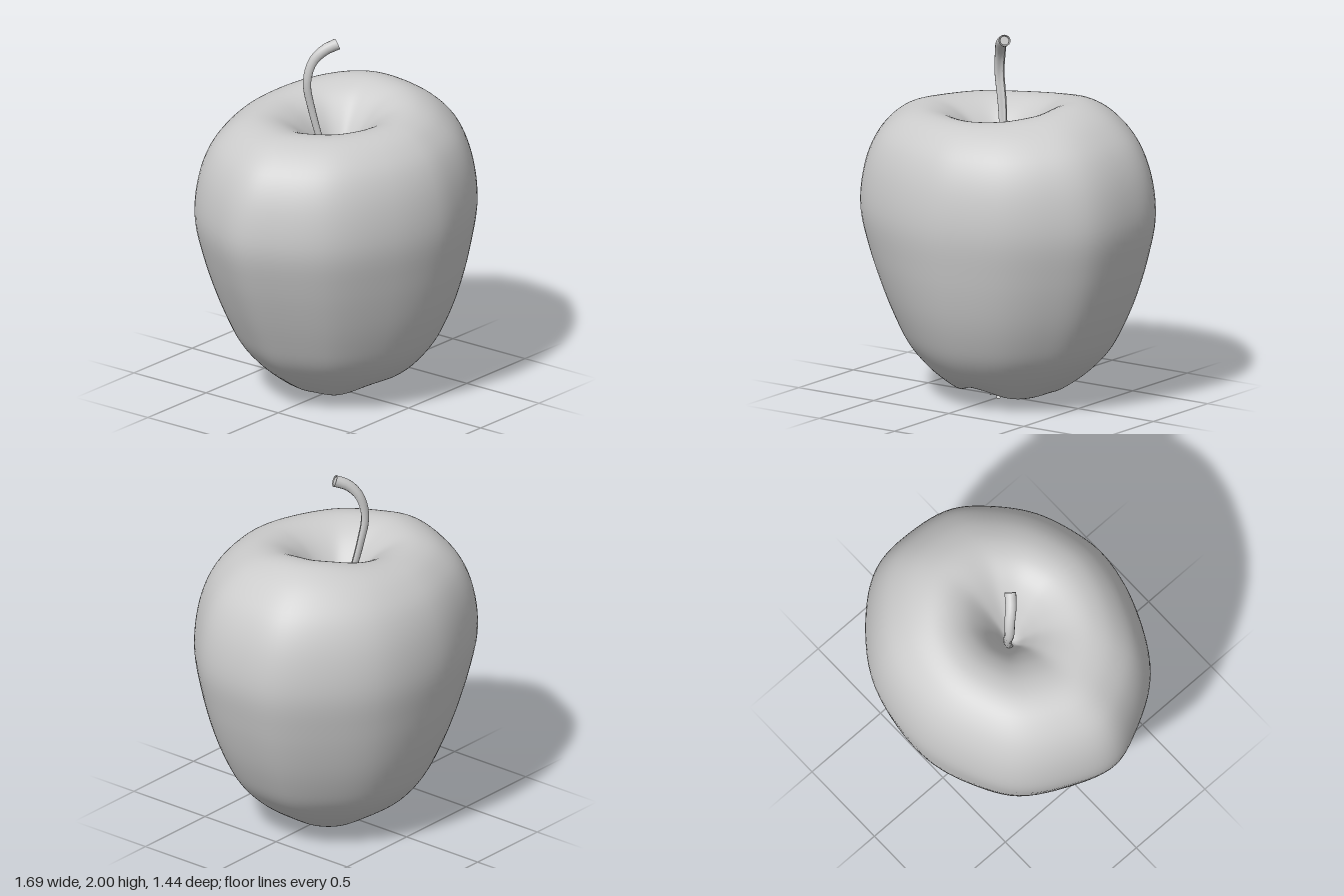
import * as THREE from 'three';
import { mergeVertices } from 'three/addons/utils/BufferGeometryUtils.js';

const material = new THREE.MeshStandardMaterial({ color: 0xcccccc });
const thinMaterial = new THREE.MeshStandardMaterial({ color: 0xcccccc, side: THREE.DoubleSide });
const vec2 = ([x, y]) => new THREE.Vector2(x, y);
const vec3 = ([x, y, z]) => new THREE.Vector3(x, y, z);

// Widest horizontal outline (x, z), from the front round through +x
const OUTLINE = [
  [0, 0.717], [0.2, 0.695], [0.45, 0.605], [0.65, 0.45], [0.8, 0.26], [0.85, 0],
  [0.825, -0.25], [0.65, -0.48], [0.37, -0.67], [-0.02, -0.725], [-0.34, -0.645],
  [-0.61, -0.495], [-0.79, -0.21], [-0.85, 0], [-0.79, 0.19], [-0.61, 0.465], [-0.29, 0.65],
];

// Profile (share of the outline, height), from the lower basin to the stem cavity
const PROFILE = [
  [0, 0.25], [0.08, 0.235], [0.15, 0.18], [0.23, 0.1], [0.32, 0.06], [0.44, 0.105],
  [0.57, 0.185], [0.69, 0.295], [0.78, 0.43], [0.865, 0.6], [0.942, 0.81], [0.995, 1.04],
  [0.967, 1.26], [0.88, 1.43], [0.74, 1.54], [0.59, 1.587], [0.45, 1.58], [0.32, 1.528],
  [0.21, 1.445], [0.12, 1.345], [0.05, 1.25], [0, 1.22],
];

// Flesh: a lathe stretched onto the outline, with an uneven shoulder and foot
function fleshGeometry() {
  const outline = new THREE.CatmullRomCurve3(OUTLINE.map(([x, z]) => new THREE.Vector3(x, 0, z)), true);
  const profile = new THREE.SplineCurve(PROFILE.map(vec2)).getPoints(96);
  profile[0].x = profile[96].x = 0;
  const segments = 102;
  let geometry = new THREE.LatheGeometry(profile, segments);
  const pos = geometry.attributes.position;
  for (let i = 0; i <= segments; i++) {
    const edge = outline.getPoint((i % segments) / segments);
    const angle = Math.atan2(edge.z, edge.x);
    profile.forEach((p, j) => {
      const low = 1 - THREE.MathUtils.smoothstep(p.y, 0.4, 1.1);
      const lean = low * Math.min(1, p.x / 0.3);
      const f = p.x + lean * (0.027 * Math.cos(angle) - 0.025 * Math.cos(2 * angle));
      const x = edge.x * f, z = edge.z * f;
      let y = p.y;
      // High shoulder on one side
      const d2 = (x - 0.31) ** 2 + (z + 0.09) ** 2;
      y += 0.085 * Math.exp(-d2 / 0.12) * THREE.MathUtils.smoothstep(p.y, 1.1, 1.55);
      // Four low lobes under the foot, with the deeper gaps at front and back
      const lobes = 0.012 * Math.cos(4 * angle) - 0.02 * Math.cos(2 * angle);
      y += lobes * Math.exp(-(((p.x - 0.32) / 0.16) ** 2)) * low;
      pos.setXYZ(i * profile.length + j, x, y, z);
    });
  }
  geometry.deleteAttribute('uv');
  geometry.deleteAttribute('normal');
  geometry = mergeVertices(geometry, 1e-4);
  geometry.computeVertexNormals();
  return geometry;
}

const stemPath = new THREE.CatmullRomCurve3([
  [-0.01, 1.2, -0.02], [-0.04, 1.38, -0.06], [-0.08, 1.6, -0.1], [-0.106, 1.76, -0.112],
  [-0.085, 1.88, -0.09], [-0.045, 1.945, -0.045], [0.01, 1.975, 0],
].map(vec3));

// Stem: a tapered tube with a groove along its inner side
function stemGeometry() {
  const rings = 28, sides = 14;
  const geometry = new THREE.TubeGeometry(stemPath, rings, 1, sides, false);
  const pos = geometry.attributes.position;
  const inner = new THREE.Vector3(0.7, 0, 0.7);
  const offset = new THREE.Vector3();
  for (let i = 0; i <= rings; i++) {
    const centre = stemPath.getPointAt(i / rings);
    const radius = 0.018 + 0.014 * i / rings;
    for (let j = 0; j <= sides; j++) {
      const k = i * (sides + 1) + j;
      offset.fromBufferAttribute(pos, k).sub(centre);
      const groove = 1 - 0.6 * Math.max(0, offset.dot(inner)) ** 4;
      offset.multiplyScalar(radius * groove).add(centre);
      pos.setXYZ(k, offset.x, offset.y, offset.z);
    }
  }
  geometry.computeVertexNormals();
  return geometry;
}

// Sepal: a narrow pointed ribbon hanging down and curling outward along +z
function sepalGeometry(reach, tip) {
  const path = new THREE.CatmullRomCurve3([
    [0, 0.25, 0.03], [0, 0.16, 0.055], [0, tip + 0.06, 0.06], [0, tip + 0.015, 0.075], [0, tip, reach],
  ].map(vec3));
  const steps = 12;
  const geometry = new THREE.PlaneGeometry(1, 1, 2, steps);
  const pos = geometry.attributes.position;
  for (let i = 0; i <= steps; i++) {
    const t = i / steps;
    const p = path.getPoint(t);
    const half = 0.003 + 0.024 * Math.sqrt(1 - t) * (0.7 + 0.5 * t);
    for (let j = 0; j < 3; j++) {
      pos.setXYZ(i * 3 + j, (j - 1) * half, p.y, p.z - (j === 1 ? 0 : 0.007));
    }
  }
  geometry.computeVertexNormals();
  return geometry;
}

export function createModel() {
  const model = new THREE.Group();
  model.name = 'apple';
  const add = (name, geometry, mat, parent = model) => {
    const mesh = new THREE.Mesh(geometry, mat);
    mesh.name = name;
    parent.add(mesh);
    return mesh;
  };

  add('flesh', fleshGeometry(), material);
  add('stem', stemGeometry(), thinMaterial);
  // Flat cut at the end of the stem, set just inside the rim
  const cut = add('stemEnd', new THREE.CircleGeometry(0.025, 14), material);
  cut.position.copy(stemPath.getPointAt(0.995));
  cut.quaternion.setFromUnitVectors(new THREE.Vector3(0, 0, 1), stemPath.getTangentAt(1));

  // Dried blossom in the lower basin
  const calyx = new THREE.Group();
  calyx.name = 'calyx';
  calyx.position.x = 0.02;
  model.add(calyx);
  const count = 8;
  for (let i = 0; i < count; i++) {
    const sepal = add('sepal', sepalGeometry(0.085 + 0.012 * (i % 3), 0.002 + 0.016 * (i % 2)), thinMaterial, calyx);
    sepal.rotation.set(0, (i / count) * Math.PI * 2 + 0.2 * (i % 3), 0);
  }
  return model;
}
